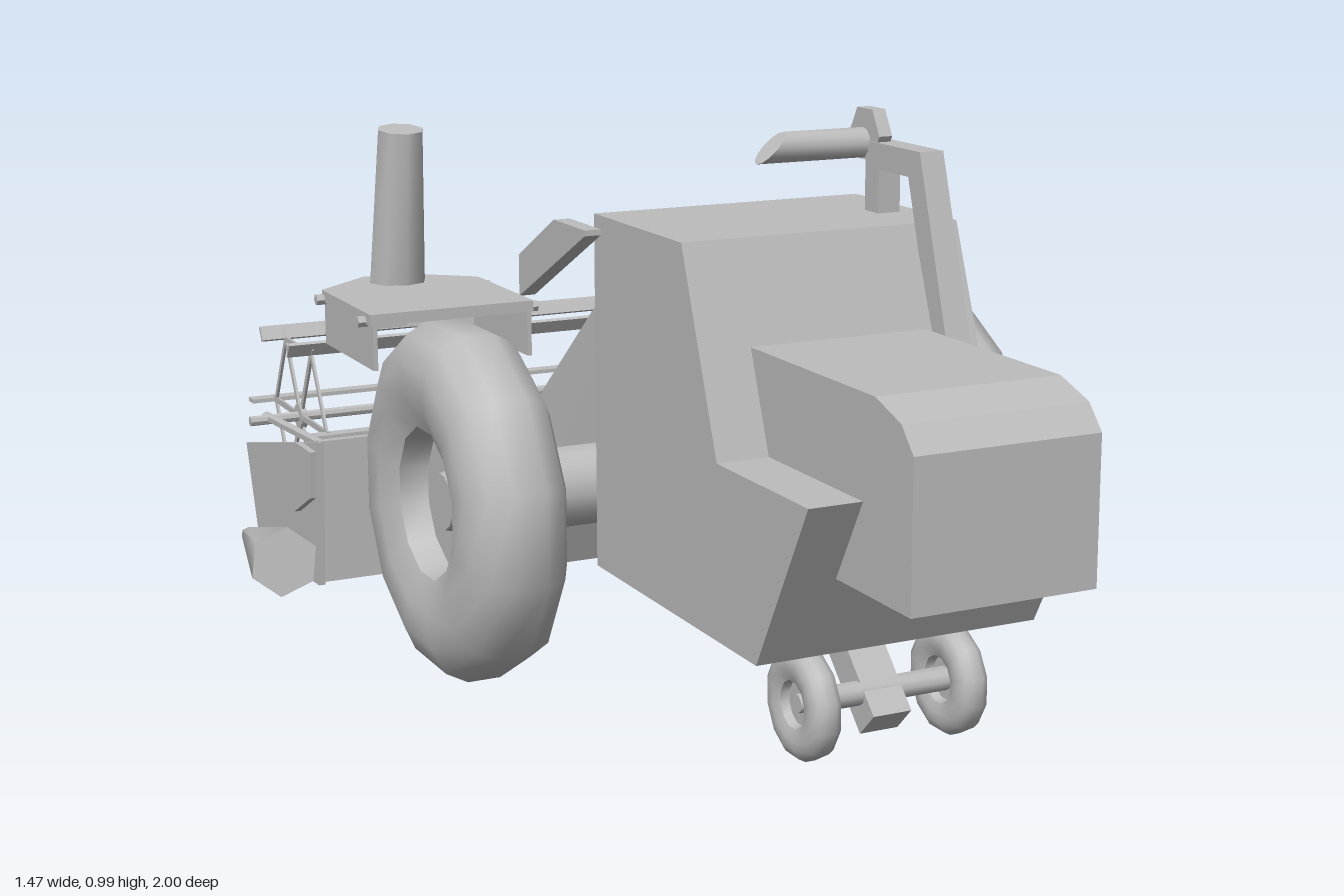
import * as THREE from 'three';
import { toCreasedNormals } from 'three/addons/utils/BufferGeometryUtils.js';

export function createModel() {
  const model = new THREE.Group();
  model.name = 'combineHarvester';
  const grey = new THREE.MeshStandardMaterial({ color: 0xbcbcbc, side: THREE.DoubleSide });
  grey.name = 'grey';

  const add = (name, geo, parent = model) => {
    const m = new THREE.Mesh(geo, grey);
    m.name = name;
    parent.add(m);
    return m;
  };
  // box given by its limits
  const box = (name, x0, x1, y0, y1, z0, z1) => {
    const g = new THREE.BoxGeometry(x1 - x0, y1 - y0, z1 - z0);
    g.translate((x0 + x1) / 2, (y0 + y1) / 2, (z0 + z1) / 2);
    return add(name, g);
  };
  // side profile of [z, y] points, swept from x0 to x1
  const sweep = (pts, x0, x1) => {
    const g = new THREE.ExtrudeGeometry(new THREE.Shape(pts.map(p => new THREE.Vector2(...p))),
      { depth: x1 - x0, bevelEnabled: false });
    return g.rotateY(-Math.PI / 2).translate(x1, 0, 0);
  };
  const profile = (name, pts, x0, x1) => add(name, sweep(pts, x0, x1));
  // round or tapered bar between two points
  const rod = (name, a, b, r0, r1 = r0, sides = 6, crease = 0.7) => {
    const A = new THREE.Vector3(...a), B = new THREE.Vector3(...b), d = B.clone().sub(A);
    const m = add(name, toCreasedNormals(new THREE.CylinderGeometry(r1, r0, d.length(), sides), crease));
    m.position.copy(A).add(B).multiplyScalar(0.5);
    m.quaternion.setFromUnitVectors(new THREE.Vector3(0, 1, 0), d.normalize());
    return m;
  };
  // flat strip standing in a plane of constant x
  const strip = (name, [x, y0, z0], [, y1, z1], width) => {
    const m = add(name, new THREE.BoxGeometry(0.005, Math.hypot(y1 - y0, z1 - z0), width));
    m.position.set(x, (y0 + y1) / 2, (z0 + z1) / 2);
    m.rotation.x = Math.atan2(z1 - z0, y1 - y0);
  };

  // body and rear hood
  profile('body', [[0.105, 0.2], [0.7, 0.2], [0.86, 0.49], [0.565, 0.49], [0.44, 0.82], [0.105, 0.82]], -0.255, 0.255);
  profile('rearHood', [[0.5, 0.35], [1, 0.35], [1, 0.59], [0.965, 0.63], [0.89, 0.655], [0.5, 0.655]], -0.163, 0.16);

  // feeder house, flaring towards the header
  const feeder = sweep([[0.11, 0.76], [-0.1, 0.55], [-0.42, 0.23],
    [-0.42, 0.07], [-0.3, 0.08], [-0.25, 0.2], [-0.1, 0.27], [0.11, 0.35]], -0.185, 0.185);
  const fp = feeder.attributes.position;
  for (let i = 0; i < fp.count; i++) {
    const t = Math.max(0, -0.1 - fp.getZ(i)) / 0.31;
    fp.setX(i, fp.getX(i) * (1 + 0.35 * t));
  }
  feeder.computeVertexNormals();
  add('feederHouse', feeder);
  profile('sideGuard', [[0.15, 0.8], [0.02, 0.8], [-0.14, 0.715], [-0.14, 0.64], [0.15, 0.79]], -0.293, -0.263);

  // grain elevator and unloading spout
  profile('elevator', [[0.28, 0.94], [0.455, 0.94], [0.595, 0.49], [0.545, 0.49], [0.42, 0.895], [0.28, 0.895]], 0.172, 0.217);
  box('spoutPost', 0.175, 0.217, 0.81, 0.93, 0.275, 0.32);
  rod('spoutFlange', [0.175, 0.95, 0.27], [0.2, 0.95, 0.27], 0.05);
  const spout = new THREE.CylinderGeometry(0.026, 0.026, 0.205, 12).rotateZ(Math.PI / 2);
  const sp = spout.attributes.position;
  for (let i = 0; i < sp.count; i++) {
    if (sp.getX(i) < 0) sp.setX(i, sp.getX(i) + (sp.getY(i) + 0.026));
  }
  add('unloadingSpout', toCreasedNormals(spout, 0.7)).position.set(0.073, 0.935, 0.265);

  // wheels with deep rims
  const half = [[0, -0.04], [0.05, -0.04], [0.055, -0.02], [0.125, -0.02], [0.135, -0.07], [0.19, -0.091],
    [0.25, -0.091], [0.297, -0.068], [0.317, -0.03]];
  const wheelPts = [...half, ...half.map(([r, y]) => [r, -y]).reverse()].map(p => new THREE.Vector2(...p));
  const wheelGeo = toCreasedNormals(
    new THREE.LatheGeometry(wheelPts, 12, Math.PI / 12).rotateZ(Math.PI / 2), 0.9);
  for (const s of [-1, 1]) {
    add('driveWheel', wheelGeo).position.set(s * 0.452, 0.312, -0.024);
    const w = add('steeringWheel', wheelGeo);
    w.scale.setScalar(0.295);
    w.position.set(s * 0.135, 0.1, 0.635);
  }
  rod('driveAxle', [-0.44, 0.31, -0.03], [0.44, 0.31, -0.03], 0.072, 0.072, 16);
  rod('steeringAxle', [-0.13, 0.1, 0.635], [0.13, 0.1, 0.635], 0.02, 0.02, 10);
  const strut = add('steeringStrut', new THREE.BoxGeometry(0.07, 0.18, 0.06));
  strut.position.set(0, 0.118, 0.6);
  strut.rotation.x = -Math.PI / 4;

  // driver platform: top plate over a thin skirt that is open at the rear
  const outline = e => [[-0.6 - e, -0.05], [-0.6 - e, -0.31 - e / 2], [-0.495, -0.4 - e],
    [-0.415, -0.4 - e], [-0.308 + e, -0.31 - e / 2], [-0.308 + e, -0.05]];
  const slab = (name, pts, y0, y1) => {
    const shape = new THREE.Shape(pts.map(([x, z]) => new THREE.Vector2(x, -z)));
    const g = new THREE.ExtrudeGeometry(shape, { depth: y1 - y0, bevelEnabled: false });
    add(name, g.rotateX(-Math.PI / 2).translate(0, y0, 0));
  };
  slab('platformSkirt', [...outline(0), ...outline(-0.008).reverse()], 0.55, 0.63);
  slab('platformPlate', outline(0.004), 0.628, 0.648);
  for (const z of [-0.305, -0.08]) rod('platformPeg', [-0.618, 0.632, z], [-0.285, 0.632, z], 0.01);
  rod('driverColumn', [-0.452, 0.64, -0.337], [-0.452, 0.93, -0.3], 0.053, 0.042, 8, 0.9);

  // header trough
  profile('headerFloor', [[-0.41, 0.085], [-0.75, 0.07], [-0.8, 0.05], [-0.78, 0.042], [-0.41, 0.072]], -0.59, 0.59);
  box('headerBack', -0.59, 0.59, 0.075, 0.345, -0.42, -0.405);
  box('throatLip', -0.19, 0.19, 0.08, 0.12, -0.48, -0.46);
  rod('auger', [-0.585, 0.215, -0.578], [0.585, 0.215, -0.578], 0.047, 0.047, 12);

  for (const s of [-1, 1]) {
    const span = (a, b) => [Math.min(s * a, s * b), Math.max(s * a, s * b)];
    profile('headerSide', [[-0.38, 0.35], [-0.85, 0.245], [-0.78, 0.05], [-0.4, 0.07]], ...span(0.588, 0.6));
    profile('beltCover', [[-0.39, 0.33], [-0.48, 0.33], [-0.6, 0.25], [-0.58, 0.19], [-0.5, 0.19], [-0.4, 0.24]], ...span(0.6, 0.612));
    rod('cropDivider', [s * 0.673, 0.132, -0.375], [s * 0.605, 0.055, -0.85], 0.065, 0.013, 6, 1.1);
    rod('reelArm', [s * 0.562, 0.325, -0.41], [s * 0.562, 0.3, -0.83], 0.01);
    rod('cornerBrace', [s * 0.55, 0.3, -0.53], [s * 0.45, 0.3, -0.42], 0.006);
    // auger flights
    for (const x of [0.31, 0.48]) {
      const f = add('augerFlight', toCreasedNormals(new THREE.CylinderGeometry(0.075, 0.075, 0.025, 8).rotateZ(Math.PI / 2), 0.9));
      f.position.set(s * x, 0.215, -0.578);
      f.rotation.y = -s * 0.55;
    }
  }

  // reel: shaft, six bats, and four hexagonal frames
  const cy = 0.3, cz = -0.8, R = 0.165;
  const at = (x, i, r = R) => {
    const a = i * Math.PI / 3;
    return [x, cy + r * Math.sin(a), cz + r * Math.cos(a)];
  };
  rod('reelShaft', [-0.605, cy, cz], [0.605, cy, cz], 0.01, 0.01, 8);
  for (let i = 0; i < 6; i++) {
    const bat = add('reelBat', new THREE.BoxGeometry(1.1, 0.008, 0.03));
    bat.position.set(...at(0, i, 0.18));
    bat.rotation.x = -i * Math.PI / 3;
    for (const x of [-0.5, -0.19, 0.19, 0.5]) {
      strip('reelSpoke', [x, cy, cz], at(x, i, 0.18), 0.012);
      strip('reelFrame', at(x, i), at(x, i + 1), 0.01);
    }
  }
  for (const x of [-0.5, -0.19, 0.19, 0.5]) rod('reelHub', [x - 0.006, cy, cz], [x + 0.006, cy, cz], 0.026, 0.026, 10);

  return model;
}
